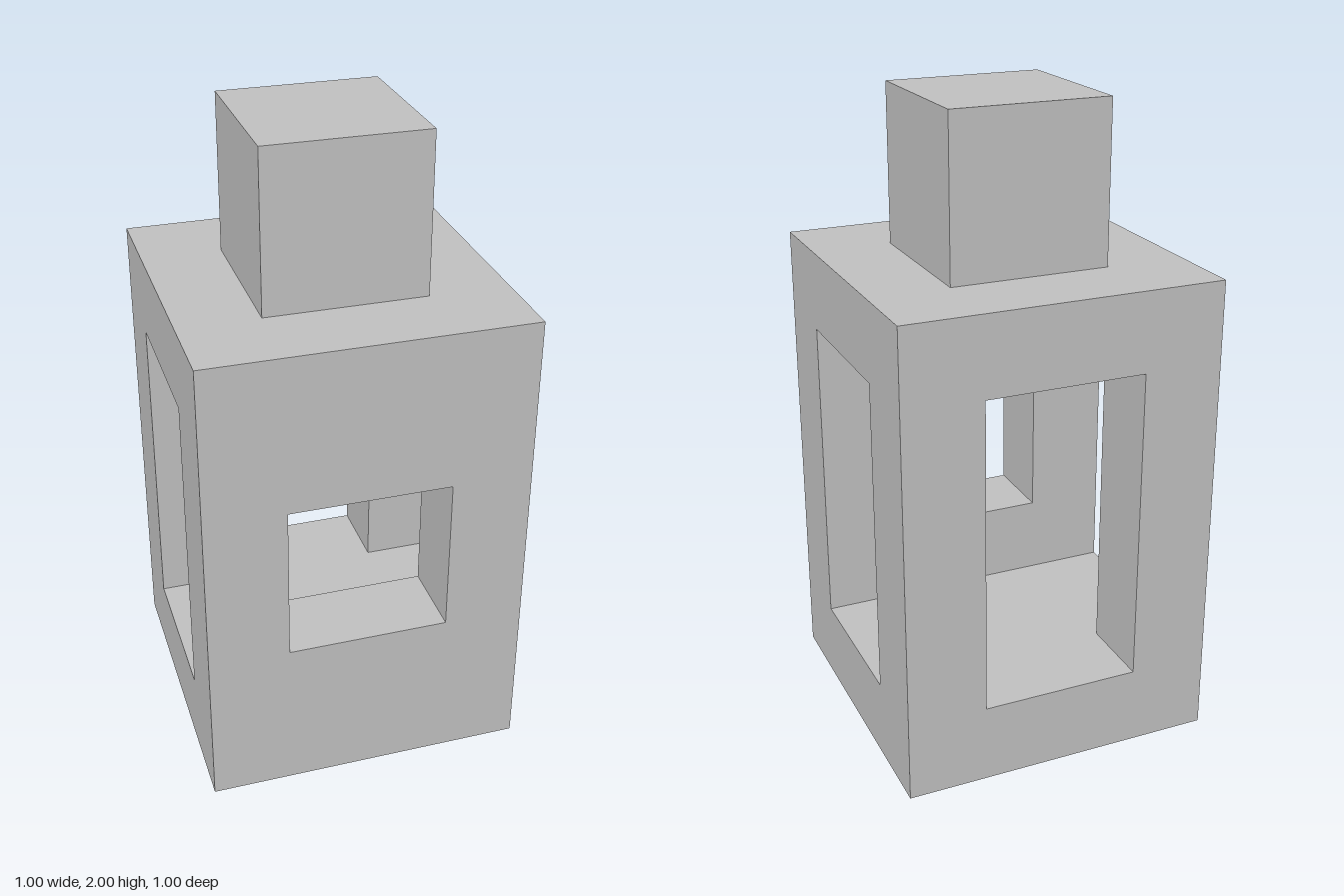
import * as THREE from 'three';

const W = 1, H = 1.5, T = 0.25, OPEN = 0.5; // tower width, height, wall thickness, opening width

function rect(path, x0, y0, x1, y1) {
  path.moveTo(x0, y0).lineTo(x1, y0).lineTo(x1, y1).lineTo(x0, y1).closePath();
  return path;
}

// Flat panel in the xy plane with one rectangular hole
function holedPanel(outer, hole) {
  const shape = rect(new THREE.Shape(), ...outer);
  shape.holes.push(rect(new THREE.Path(), ...hole));
  return new THREE.ShapeGeometry(shape);
}

// Inside-out box keeping only the index range of the wanted faces
function innerFaces(w, h, d, from, to) {
  const geo = new THREE.BoxGeometry(w, h, d);
  geo.setIndex(Array.from(geo.index.array).slice(from, to).reverse());
  geo.clearGroups();
  geo.computeVertexNormals();
  return geo;
}

export function createModel() {
  const model = new THREE.Group();
  const grey = new THREE.MeshStandardMaterial({ color: 0xc0c0c0 });
  grey.name = 'light grey';

  const add = (name, geo, parent = model) => {
    const mesh = new THREE.Mesh(geo, grey);
    mesh.name = name;
    parent.add(mesh);
    return mesh;
  };

  // Four walls: small window in front, tall openings on the other sides
  ['frontWall', 'leftWall', 'backWall', 'rightWall'].forEach((name, i) => {
    const [y0, y1] = i === 0 ? [0.5, 1] : [T, H - T];
    const wall = new THREE.Group();
    wall.name = name;
    wall.rotation.y = i * Math.PI / 2;
    model.add(wall);

    const hole = [-OPEN / 2, y0, OPEN / 2, y1];
    add(name + 'Face', holedPanel([-W / 2, 0, W / 2, H], hole).translate(0, 0, W / 2), wall);
    // Side, top and bottom of the opening
    add(name + 'Reveal', innerFaces(OPEN, y1 - y0, T, 0, 24)
      .translate(0, (y0 + y1) / 2, W / 2 - T / 2), wall);
    // Inner face around the small window, facing the chamber
    if (i === 0) {
      const inner = holedPanel([-OPEN / 2, T, OPEN / 2, H - T], hole);
      add(name + 'InnerFace', inner.rotateY(Math.PI).translate(0, 0, W / 2 - T), wall);
    }
  });

  // Chamber floor and ceiling
  add('chamberFloorAndCeiling', innerFaces(OPEN, H - 2 * T, OPEN, 12, 24).translate(0, H / 2, 0));

  // Underside and the ledge around the top block
  add('underside', new THREE.PlaneGeometry(W, W).rotateX(Math.PI / 2));
  const r = W / 2, b = OPEN / 2;
  add('topLedge', holedPanel([-r, -r, r, r], [-b, -b, b, b]).rotateX(-Math.PI / 2).translate(0, H, 0));

  // Block on top
  add('topBlock', new THREE.BoxGeometry(OPEN, 0.5, OPEN).translate(0, H + 0.25, 0));

  return model;
}
